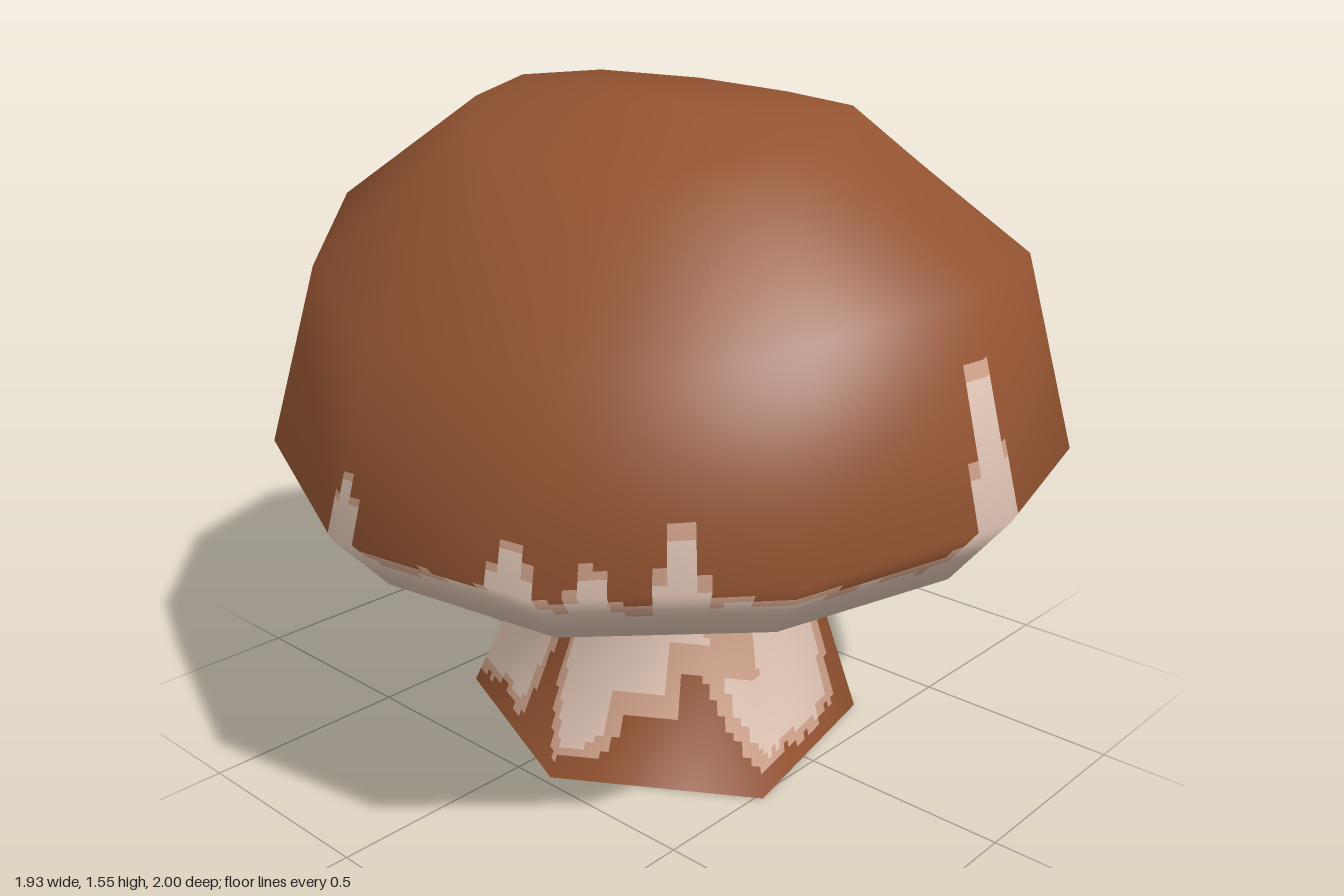
import * as THREE from 'three';

const brown = new THREE.MeshStandardMaterial({ name: 'brown', color: 0x935331 });
const cream = new THREE.MeshStandardMaterial({ name: 'cream', color: 0xdfc4b4 });
const tan = new THREE.MeshStandardMaterial({ name: 'tan', color: 0xcda088 });
const materials = [brown, cream, tan];
const BROWN = 0, CREAM = 1, TAN = 2;

// Angle around the y axis in degrees, and the signed gap between two angles
const angleOf = (p) => THREE.MathUtils.radToDeg(Math.atan2(p.z, p.x));
const gap = (a, b) => THREE.MathUtils.euclideanModulo(a - b + 180, 360) - 180;
const wobble = (a) => Math.sin(a * 0.21) * 0.5 + Math.sin(a * 0.53 + 1) * 0.3 + Math.sin(a * 1.1) * 0.2;

// Skins a stack of rings with smooth normals, then cuts each panel into small
// cells so that paint(point, row) can give each cell its colour.
function skin(name, rings, cols, rowCuts, paint) {
  const n = rings[0].length;
  const coarse = new THREE.BufferGeometry().setFromPoints(rings.flat());
  const faces = [];
  for (let r = 0; r < rings.length - 1; r++) {
    for (let i = 0; i < n; i++) {
      const a = r * n + i, b = r * n + (i + 1) % n;
      faces.push(a, a + n, b, b, a + n, b + n);
    }
  }
  coarse.setIndex(faces);
  coarse.computeVertexNormals();

  const sample = (attribute, r, i, u, v) => {
    const get = (row, col) => new THREE.Vector3().fromBufferAttribute(attribute, row * n + col % n);
    const low = get(r, i).lerp(get(r, i + 1), u);
    return low.lerp(get(r + 1, i).lerp(get(r + 1, i + 1), u), v);
  };

  const cells = materials.map(() => ({ pos: [], nor: [] }));
  for (let r = 0; r < rings.length - 1; r++) {
    const rows = rowCuts[r];
    for (let i = 0; i < n; i++) {
      for (let c = 0; c < cols; c++) {
        for (let k = 0; k < rows; k++) {
          const u0 = c / cols, u1 = (c + 1) / cols, v0 = k / rows, v1 = (k + 1) / rows;
          const middle = sample(coarse.attributes.position, r, i, (u0 + u1) / 2, (v0 + v1) / 2);
          const cell = cells[paint(middle, r)];
          for (const [u, v] of [[u0, v0], [u0, v1], [u1, v0], [u1, v0], [u0, v1], [u1, v1]]) {
            cell.pos.push(...sample(coarse.attributes.position, r, i, u, v).toArray());
            cell.nor.push(...sample(coarse.attributes.normal, r, i, u, v).normalize().toArray());
          }
        }
      }
    }
  }

  // One geometry group per colour
  const geometry = new THREE.BufferGeometry();
  geometry.setAttribute('position', new THREE.Float32BufferAttribute(cells.flatMap((c) => c.pos), 3));
  geometry.setAttribute('normal', new THREE.Float32BufferAttribute(cells.flatMap((c) => c.nor), 3));
  let start = 0;
  cells.forEach((c, m) => {
    const count = c.pos.length / 3;
    if (count) geometry.addGroup(start, count, m);
    start += count;
  });
  const mesh = new THREE.Mesh(geometry, materials);
  mesh.name = name;
  return mesh;
}

// Drips climbing the cap: angle, peak height, half width in degrees
const drips = [
  [93, 1.09, 5], [135, 0.87, 3.5], [52, 0.94, 3], [24, 0.83, 3.5], [0, 0.86, 3], [334, 0.83, 6],
  [315, 0.97, 3.5], [306, 1.0, 3.5], [275, 0.99, 3], [260, 0.96, 3.5], [249, 0.95, 3],
  [223, 0.89, 3], [180, 0.87, 3], [154, 0.82, 4], [145, 0.79, 3], [34, 0.79, 3],
];

// Brown streaks on the underside: angle, half width
const gillStreaks = [[45, 0.07], [187, 0.08]];

function paintCap(p, row) {
  const a = angleOf(p);
  if (row === 0) {
    const r = Math.hypot(p.x, p.z);
    for (const [angle, width] of gillStreaks) {
      const side = Math.abs(r * Math.sin(THREE.MathUtils.degToRad(gap(a, angle))));
      if (Math.abs(gap(a, angle)) > 60) continue;
      if (side < width && r < 0.8) return BROWN;
      if (side < width + 0.04) return TAN;
    }
    return wobble(a * 0.4 + r * 20) > 0.6 ? TAN : CREAM;
  }
  if (row > 2) return BROWN;
  const base = (p.z < 0 ? 0.72 + 0.1 * p.z * p.z : 0.72 - 0.015 * p.z) + 0.015 * wobble(a);
  let line = base;
  for (const [angle, peak, width] of drips) {
    const d = Math.abs(gap(a, angle)) / width;
    if (d < 1) line = Math.max(line, base + (peak - base) * Math.min(1, 1.5 * (1 - d)));
  }
  if (p.y > line) return BROWN;
  return p.y > line - 0.025 - 0.02 * wobble(a * 0.7) ? TAN : CREAM;
}

function makeCap() {
  // Widest outline of the cap, seen from above
  const outline = [
    [0.04, -1], [0.48, -0.87], [0.84, -0.5], [0.965, 0], [0.83, 0.51], [0.46, 0.86],
    [-0.04, 1], [-0.54, 0.86], [-0.885, 0.49], [-0.97, -0.015], [-0.77, -0.51], [-0.39, -0.87],
  ];
  const ring = (scale, height) =>
    outline.map(([x, z]) => new THREE.Vector3(x * scale, height(x, z), z * scale));
  const rings = [
    ring(0.36, () => 0.7),
    ring(0.86, (x, z) => 0.585 - 0.03 * z + 0.045 * z * z),
    ring(1, (x, z) => 0.745 + 0.015 * x - 0.045 * z + 0.07 * z * z),
    ring(0.875, (x, z) => 1.165 + 0.045 * x - 0.05 * z + 0.1 * z * z),
    ring(0.49, (x, z) => 1.475 + 0.035 * x - 0.03 * z + 0.045 * z * z),
    ring(0, () => 1.535),
  ];
  return skin('cap', rings, 18, [14, 8, 26, 1, 1], paintCap);
}

// Brown streaks on the stem: angle, height reached
const stemStreaks = [[51, 1], [273, 1], [184, 1], [122, 0.24], [140, 0.14]];

function paintStem(p) {
  const a = angleOf(p);
  const edge = 0.045 + 0.02 * wobble(a);
  if (p.y < edge) return BROWN;
  let colour = p.y < edge + 0.025 ? TAN : CREAM;
  for (const [angle, top] of stemStreaks) {
    const d = Math.abs(gap(a, angle + 4 * Math.sin(p.y * 7)));
    const width = 4 + 13 * Math.max(0, 1 - p.y / 0.3) ** 2;
    if (p.y < top && d < width) return BROWN;
    if (p.y < top + 0.06 && d < width + 5) colour = TAN;
  }
  // Pale tan smears on the front
  if (p.y > 0.25 && Math.abs(gap(a, 112)) < 7) colour = TAN;
  if (p.y < 0.34 && Math.abs(gap(a, 27)) < 8) colour = TAN;
  return colour;
}

function makeStem() {
  const foot = [[0.48, -0.1], [0.29, 0.41], [-0.21, 0.515], [-0.48, 0.09], [-0.28, -0.41], [0.17, -0.52]];
  const ring = (y, sx, sz, shift) =>
    foot.map(([x, z]) => new THREE.Vector3(x * sx + shift, y, z * sz));
  const base = ring(0, 1, 1, 0);
  const stem = new THREE.Group();
  stem.name = 'stem';
  stem.add(
    skin('stemSides', [base, ring(0.42, 0.64, 0.69, 0.045), ring(0.74, 0.89, 0.85, 0.01)], 24, [26, 14], paintStem),
    skin('stemBase', [ring(0, 0, 0, 0), base], 1, [1], () => CREAM),
  );
  return stem;
}

export function createModel() {
  const model = new THREE.Group();
  model.name = 'mushroom';
  model.add(makeCap(), makeStem());
  return model;
}
